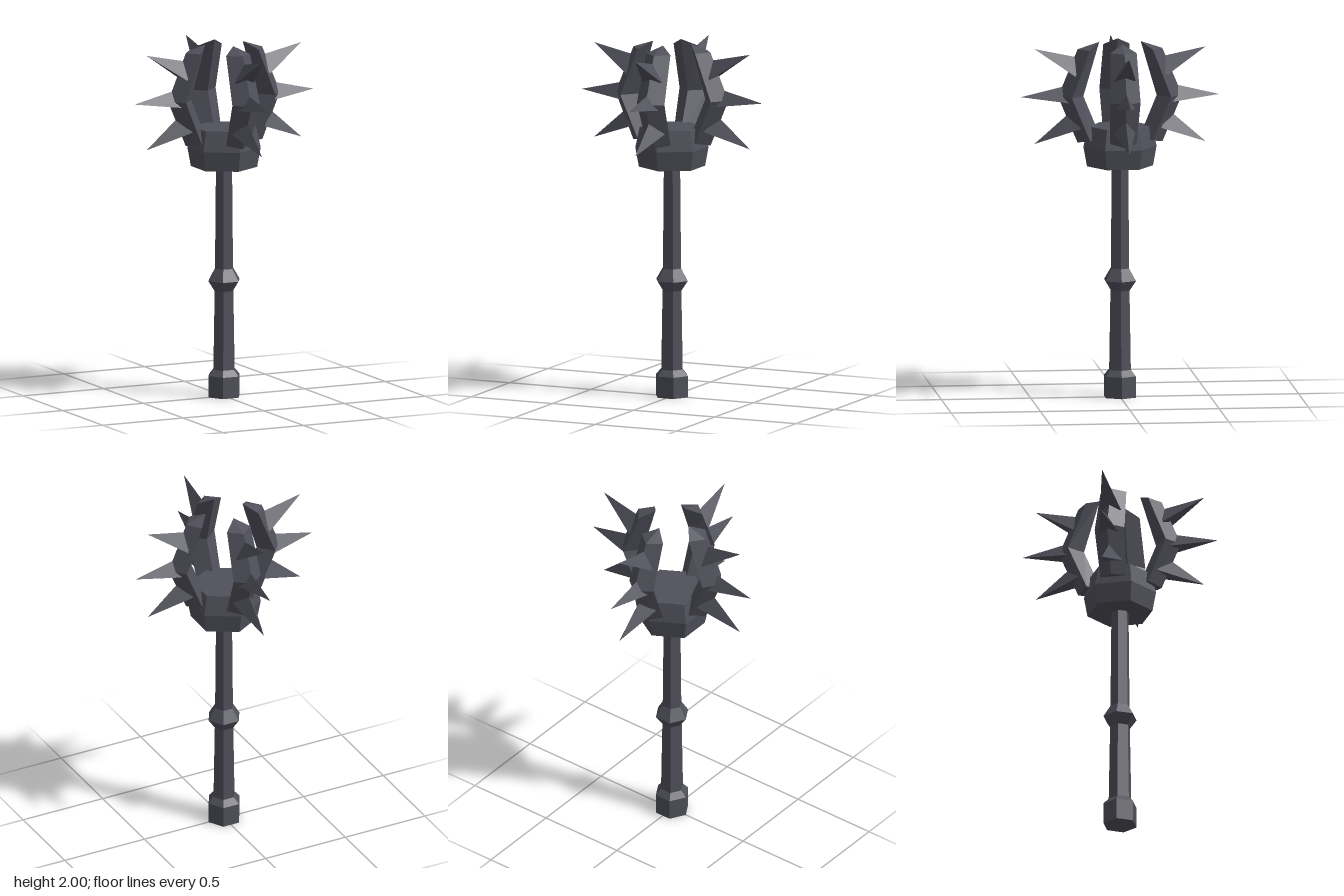
import * as THREE from 'three';

const darkIron = new THREE.MeshStandardMaterial({ color: 0x50505b });
darkIron.name = 'darkIron';

function mesh(name, geometry) {
  // unshared vertices give every facet its own hard normal
  const flat = geometry.index ? geometry.toNonIndexed() : geometry;
  flat.computeVertexNormals();
  const m = new THREE.Mesh(flat, darkIron);
  m.name = name;
  return m;
}

// six-sided turned part from [radius, height] pairs
function hexLathe(name, profile, start) {
  const points = profile.map(([r, y]) => new THREE.Vector2(r, y));
  return mesh(name, new THREE.LatheGeometry(points, 6, start));
}

// bent bar with a diamond cross-section, lofted bottom to top
function prongGeometry() {
  // each section: inner [x, y], side [x, y, half width], outer [x, y]
  const sections = [
    { inner: [0.11, 1.465], side: [0.175, 1.45, 0.074], outer: [0.238, 1.435] },
    { inner: [0.205, 1.695], side: [0.278, 1.695, 0.085], outer: [0.347, 1.695] },
    { inner: [0.116, 2.0], side: [0.177, 1.96, 0.074], outer: [0.237, 1.96] },
  ];
  const positions = [];
  for (const { inner, side, outer } of sections) {
    const [x, y, w] = side;
    positions.push(...inner, 0, x, y, w, ...outer, 0, x, y, -w);
  }
  const index = [0, 2, 1, 0, 3, 2];
  for (let s = 0; s < sections.length - 1; s++) {
    for (let i = 0; i < 4; i++) {
      const a = s * 4 + i, b = s * 4 + (i + 1) % 4;
      index.push(a, b, b + 4, a, b + 4, a + 4);
    }
  }
  const top = (sections.length - 1) * 4;
  index.push(top, top + 1, top + 2, top, top + 2, top + 3);
  const g = new THREE.BufferGeometry();
  g.setAttribute('position', new THREE.Float32BufferAttribute(positions, 3));
  g.setIndex(index);
  return g;
}

// three-sided spike from a base point to a tip, one edge on top
function spike(name, [bx, by], [tx, ty]) {
  const length = Math.hypot(tx - bx, ty - by);
  const g = new THREE.ConeGeometry(0.07, length, 3);
  g.translate(0, length / 2, 0);
  g.rotateY(-Math.PI / 2);
  g.rotateZ(-Math.PI / 2 + Math.atan2(ty - by, tx - bx));
  g.translate(bx, by, 0);
  return mesh(name, g);
}

export function createModel() {
  const model = new THREE.Group();
  model.name = 'spikedMace';

  // handle: pommel, grip, collar and upper shaft
  model.add(hexLathe('pommel', [[0, 0], [0.097, 0], [0.097, 0.12], [0.066, 0.155]], Math.PI / 6));
  model.add(hexLathe('grip', [[0.066, 0.155], [0.058, 0.6]], Math.PI / 6));
  model.add(hexLathe('collar', [[0.058, 0.6], [0.097, 0.657], [0.056, 0.725]], Math.PI / 6));
  model.add(hexLathe('shaft', [[0.056, 0.725], [0.05, 1.31]], Math.PI / 6));

  // head block, turned so its corners point front and back
  model.add(hexLathe('head', [[0, 1.3], [0.185, 1.3], [0.205, 1.41], [0.18, 1.525], [0, 1.525]], 0));

  // four spiked prongs around the head
  for (let i = 0; i < 4; i++) {
    const prong = new THREE.Group();
    prong.name = `spikedProng${i + 1}`;
    prong.add(mesh('prong', prongGeometry()));
    prong.add(spike('upperSpike', [0.24, 1.845], [0.48, 1.965]));
    prong.add(spike('middleSpike', [0.26, 1.695], [0.556, 1.695]));
    prong.add(spike('lowerSpike', [0.24, 1.55], [0.48, 1.43]));
    prong.rotation.y = i * Math.PI / 2;
    model.add(prong);
  }
  return model;
}
